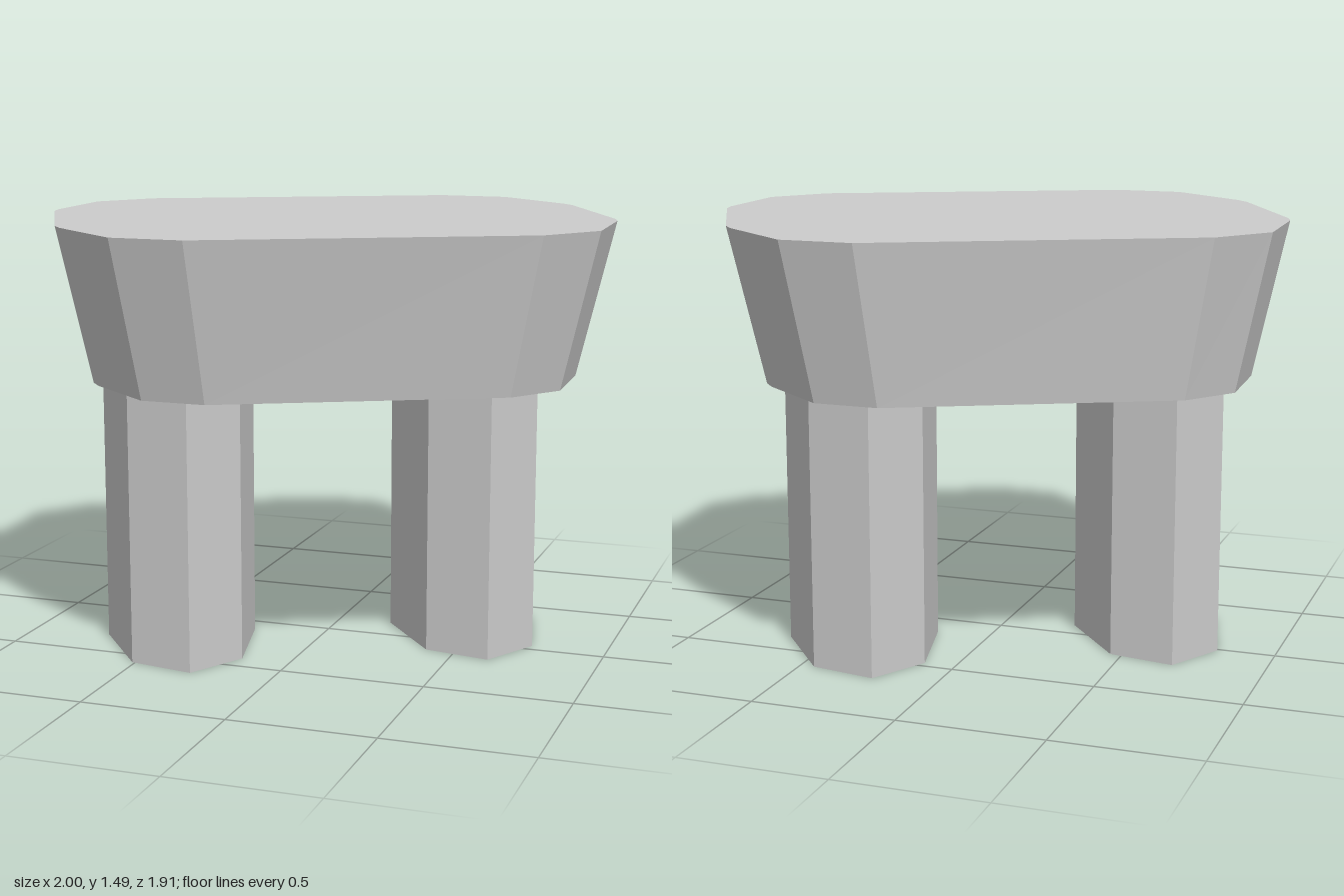
import * as THREE from 'three';

const material = new THREE.MeshStandardMaterial({ color: 0xcccccc, flatShading: true, side: THREE.DoubleSide });

// Complete a half outline by turning it 180 degrees about its centre
const fullOutline = half => [...half, ...half.map(([x, z]) => [-x, -z])];

// Open-bottomed wall between two outlines, optionally closed on top
function shell(name, bottom, top, y0, y1, capped) {
  const pos = [];
  const n = top.length;
  const add = (...pts) => pts.forEach(p => pos.push(...p));
  for (let i = 0; i < n; i++) {
    const j = (i + 1) % n;
    const at = (o, k, y) => [o[k][0], y, o[k][1]];
    const a = at(bottom, i, y0), b = at(bottom, j, y0);
    const c = at(top, j, y1), d = at(top, i, y1);
    add(a, b, c, a, c, d);
    if (capped) add([0, y1, 0], d, c);
  }
  const geo = new THREE.BufferGeometry();
  geo.setAttribute('position', new THREE.Float32BufferAttribute(pos, 3));
  geo.computeVertexNormals();
  const mesh = new THREE.Mesh(geo, material);
  mesh.name = name;
  return mesh;
}

export function createModel() {
  const group = new THREE.Group();
  group.name = 'stool';

  // Tapered seat block: hollow underneath, narrower at the bottom
  const seatTop = fullOutline([
    [-1, -0.25], [-0.985, 0.105], [-0.967, 0.17], [-0.715, 0.665],
    [-0.67, 0.72], [-0.39, 0.95], [-0.14, 0.955], [0.86, 0.45],
  ]);
  const seatBottom = seatTop.map(([x, z]) => [x * 0.878 - 0.008, z * 0.868 - 0.01]);
  group.add(shell('seat', seatBottom, seatTop, 0.96, 1.49, true));

  // Two hollow eight-sided legs
  const leg = fullOutline([[-0.315, -0.215], [-0.235, 0.115], [-0.025, 0.375], [0.205, 0.415]]);
  for (const [name, x, z] of [['leftLeg', 0.425, -0.255], ['rightLeg', -0.485, 0.205]]) {
    const mesh = shell(name, leg, leg, 0, 0.96, false);
    mesh.position.set(x, 0, z);
    group.add(mesh);
  }
  return group;
}
